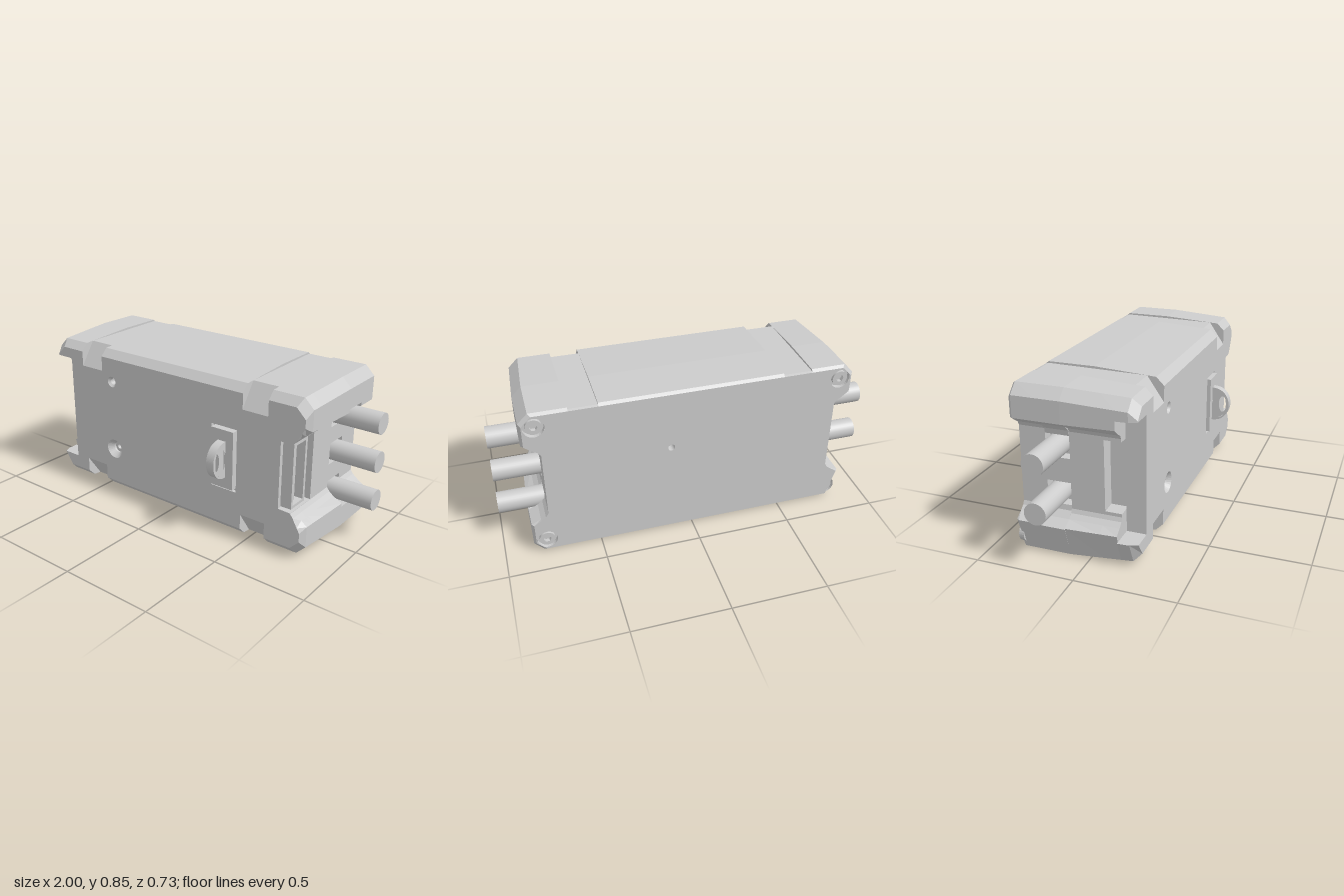
import * as THREE from 'three';

const grey = new THREE.MeshStandardMaterial({ color: 0xcccccc });
const flat = new THREE.MeshStandardMaterial({ color: 0xcccccc, flatShading: true });
const inner = new THREE.MeshStandardMaterial({ color: 0xcccccc, side: THREE.BackSide });
const open = new THREE.MeshStandardMaterial({ color: 0xcccccc, side: THREE.DoubleSide });
const FRONT = 0.25, BACK = -0.365;
const RIGHT_CABLES = [0.635, 0.43, 0.22], LEFT_CABLES = [0.545, 0.305];

// piecewise-linear lookup through [z, value] pairs
function along(z, table) {
  for (let i = 1; i < table.length; i++) {
    const [a, u] = table[i - 1], [b, v] = table[i];
    if (z <= b) return u + (v - u) * (z - a) / (b - a);
  }
  return table[table.length - 1][1];
}

// side indentation, listed from bottom to top, as [distance from centre, y]
function sidePath(side, kind, X, z) {
  const right = side > 0;
  const w = along(z, [[-1, 0], [0.21, 0], [0.25, 0.025]]);
  const wall = right ? 0.76 : 0.765;
  if (kind === 'pockets') {
    const pts = [];
    const ys = right ? [...RIGHT_CABLES] : [...LEFT_CABLES];
    ys.reverse().forEach((y, i) => {
      const lo = right && i === 0 ? X : wall, hi = right && i === ys.length - 1 ? X : wall;
      pts.push([lo, y - 0.058], [0.71, y - 0.058], [0.71, y + 0.058], [hi, y + 0.058]);
    });
    if (!right) {
      pts.unshift([X, 0.16], [0.80, 0.19], [0.77, 0.22]);
      pts.push([0.77, 0.63], [0.80, 0.66], [X, 0.69]);
    }
    return pts;
  }
  if (kind === 'open') return [[X, 0.13], [0.71, 0.13], [0.71, 0.735], [X, 0.735]];
  const d = right ? 0 : 0.015;
  const low = [[X, 0.18 - d - w], [0.80, 0.205 - d - w], [0.775, 0.225 - d], [wall, 0.245 - d]];
  const high = [[wall, 0.61 + d], [0.775, 0.63 + d], [0.80, 0.65 + d - 0.005 + w], [X, 0.675 + d + w]];
  const slot = kind === 'slot' ? [[wall, 0.247], [0.69, 0.25], [0.69, 0.605], [wall, 0.608]] : [];
  return [...low, ...slot, ...high];
}

// housing outline at depth z, counter-clockwise
function ring(z, rightKind, leftKind) {
  const iy = along(z, [[BACK, 0.012], [-0.35, 0], [-0.1, 0], [0.21, 0.018], [FRONT, 0.058]]);
  const ix = along(z, [[BACK, 0.012], [-0.35, 0], [-0.1, 0], [0.21, 0.018], [FRONT, 0.035]]);
  const X = 0.85 - ix, lo = iy, hi = 0.85 - iy, c = 0.05;
  const cut = Math.max(lo, along(z, [[-1, 0], [0.165, 0.0155], [FRONT, 0.14]]));
  const groove = (x0, x1, edge, y) => [[x0, edge], [x0, y], [x1, y], [x1, edge]];
  return [
    [-X + c, lo], ...groove(-0.62, -0.47, lo, cut), ...groove(0.47, 0.615, lo, cut), [X - c, lo], [X, lo + c],
    ...sidePath(1, rightKind, X, z),
    [X, hi - c], [X - c, hi], ...groove(0.615, 0.47, hi, 0.85 - cut), ...groove(-0.47, -0.62, hi, 0.85 - cut),
    [-X + c, hi], [-X, hi - c],
    ...sidePath(-1, leftKind, X, z).reverse().map(([x, y]) => [-x, y]),
  ];
}

function cap(points, z, backward, holes = []) {
  const shape = new THREE.Shape(points.map(p => new THREE.Vector2(...p)));
  shape.holes.push(...holes);
  const geo = new THREE.ShapeGeometry(shape, 24);
  if (backward) geo.index.array.reverse();
  geo.translate(0, 0, z);
  return geo;
}

function sleeve(levels, rings) {
  const pos = [], idx = [], n = rings[0].length;
  rings.forEach((r, k) => r.forEach(([x, y]) => pos.push(x, y, levels[k])));
  for (let k = 0; k + 1 < rings.length; k++) for (let i = 0; i < n; i++) {
    const j = (i + 1) % n, a = k * n + i, b = k * n + j;
    idx.push(a, b, b + n, a, b + n, a + n);
  }
  const geo = new THREE.BufferGeometry();
  geo.setAttribute('position', new THREE.Float32BufferAttribute(pos, 3));
  geo.setIndex(idx);
  const out = geo.toNonIndexed();
  out.computeVertexNormals();
  return out;
}

const circle = (x, y, r) => new THREE.Path().absarc(x, y, r, 0, Math.PI * 2, true);
const box = (x0, x1, y0, y1) => new THREE.Path([[x0, y0], [x0, y1], [x1, y1], [x1, y0]].map(p => new THREE.Vector2(...p)));
const rect = (x0, x1, y0, y1) => new THREE.Shape([[x0, y0], [x1, y0], [x1, y1], [x0, y1]].map(p => new THREE.Vector2(...p)));

export function createModel() {
  const model = new THREE.Group();
  const add = (name, geo, mat = grey, x = 0, y = 0, z = 0, parent = model) => {
    const mesh = new THREE.Mesh(geo, mat);
    mesh.name = name;
    mesh.position.set(x, y, z);
    parent.add(mesh);
    return mesh;
  };

  // housing, stacked from back to front
  const screws = [-0.78, 0.78].flatMap(x => [0.075, 0.775].map(y => [x, y]));
  const housing = new THREE.Group();
  housing.name = 'housing';
  model.add(housing);
  const segments = [
    [[BACK, -0.35, -0.23], 'plain', 'plain'],
    [[-0.23, -0.107], 'pockets', 'pockets'],
    [[-0.107, 0.065], 'plain', 'plain'],
    [[0.065, 0.15], 'slot', 'slot'],
    [[0.15, 0.165, 0.21, FRONT], 'slot', 'open'],
  ];
  segments.forEach(([levels, r, l], s) => {
    const rings = levels.map(z => ring(z, r, l));
    const last = levels.length - 1;
    const backHoles = s === 0 ? [...screws.map(([x, y]) => circle(x, y, 0.052)), circle(0.115, 0.525, 0.018)] : [];
    const frontHoles = s === 4 ? [circle(-0.4, 0.66, 0.03), circle(-0.4, 0.26, 0.055), box(0.285, 0.44, 0.255, 0.595)] : [];
    add('housingWall', sleeve(levels, rings), flat, 0, 0, 0, housing);
    add('housingBackFace', cap(rings[0], levels[0], true, backHoles), flat, 0, 0, 0, housing);
    add('housingFrontFace', cap(rings[last], levels[last], false, frontHoles), flat, 0, 0, 0, housing);
  });

  // sunken holes in the front and back faces
  const well = (name, x, y, z, dir, profile) => {
    const geo = new THREE.LatheGeometry(profile.map(p => new THREE.Vector2(...p)), 28).toNonIndexed();
    geo.computeVertexNormals();
    geo.rotateX(dir * Math.PI / 2);
    add(name, geo, open, x, y, z);
  };
  well('smallHole', -0.4, 0.66, FRONT, 1, [[0, -0.04], [0.018, -0.04], [0.018, -0.012], [0.03, 0]]);
  well('largeHole', -0.4, 0.26, FRONT, 1, [[0, -0.06], [0.014, -0.06], [0.014, -0.04], [0.03, -0.04], [0.03, -0.03], [0.055, 0]]);
  well('backHole', 0.115, 0.525, BACK, -1, [[0, -0.04], [0.018, -0.04], [0.018, 0]]);

  // corner screws with hex sockets
  for (const [x, y] of screws) {
    well('screwSeat', x, y, BACK, -1, [[0, -0.025], [0.052, -0.025], [0.052, 0]]);
    const head = new THREE.Shape().absarc(0, 0, 0.04, 0, Math.PI * 2);
    head.holes.push(new THREE.Path(Array.from({ length: 6 }, (_, i) =>
      new THREE.Vector2(0.02 * Math.cos(-i * Math.PI / 3), 0.02 * Math.sin(-i * Math.PI / 3)))));
    add('screwHead', new THREE.ExtrudeGeometry(head, { depth: 0.02, bevelEnabled: false, curveSegments: 24 }), grey, x, y, BACK + 0.004);
  }

  // cables on both ends
  const cable = new THREE.CylinderGeometry(0.055, 0.055, 0.29, 32).rotateZ(Math.PI / 2);
  RIGHT_CABLES.forEach(y => add('leftCable', cable, grey, 0.855, y, -0.175));
  LEFT_CABLES.forEach(y => add('rightCable', cable, grey, -0.855, y, -0.175));

  // pin connector in the side slot: shapes drawn in (-z, y), extruded along x
  const sideExtrude = (shape, depth) =>
    new THREE.ExtrudeGeometry(shape, { depth, bevelEnabled: false, curveSegments: 24 }).rotateY(Math.PI / 2);
  const shroud = rect(-0.228, -0.105, 0.255, 0.6);
  shroud.holes.push(box(-0.214, -0.122, 0.27, 0.585));
  add('connectorShroud', sideExtrude(shroud, 0.06), grey, 0.69);
  add('connectorTongue', new THREE.BoxGeometry(0.03, 0.315, 0.018), grey, 0.705, 0.4275, 0.162);
  for (let i = 0; i < 6; i++) add('connectorPin', new THREE.BoxGeometry(0.045, 0.012, 0.012), grey, 0.71, 0.305 + i * 0.049, 0.184);

  // lanyard loop on its plate
  add('loopSeat', new THREE.BoxGeometry(0.155, 0.34, 0.02), inner, 0.3625, 0.425, FRONT - 0.01);
  add('loopPlate', new THREE.BoxGeometry(0.135, 0.315, 0.038), grey, 0.3625, 0.4275, 0.249);
  const arch = (halfY, tip) => [[-0.25, 0.4275 - halfY], [-0.268, 0.4275 - halfY], tip, [-0.268, 0.4275 + halfY], [-0.25, 0.4275 + halfY]];
  const curve = (Type, halfY, reach) => {
    const p = arch(halfY, [-reach, 0.4275]);
    const path = new Type();
    path.moveTo(...p[0]);
    path.lineTo(...p[1]);
    path.bezierCurveTo(-reach + 0.035, p[1][1], -reach, 0.4275 - halfY * 0.55, ...p[2]);
    path.bezierCurveTo(-reach, 0.4275 + halfY * 0.55, -reach + 0.035, p[3][1], ...p[3]);
    path.lineTo(...p[4]);
    path.closePath();
    return path;
  };
  const hoop = curve(THREE.Shape, 0.098, 0.365);
  const gap = new THREE.Path().absellipse(-0.309, 0.4275, 0.04, 0.078, 0, Math.PI * 2, true);
  hoop.holes.push(gap);
  add('loop', sideExtrude(hoop, 0.045), grey, 0.34);
  const web = curve(THREE.Shape, 0.09, 0.355);
  web.holes.push(new THREE.Path().absellipse(-0.327, 0.4275, 0.022, 0.047, 0, Math.PI * 2, true));
  add('loopWeb', sideExtrude(web, 0.025), grey, 0.35);
  return model;
}
